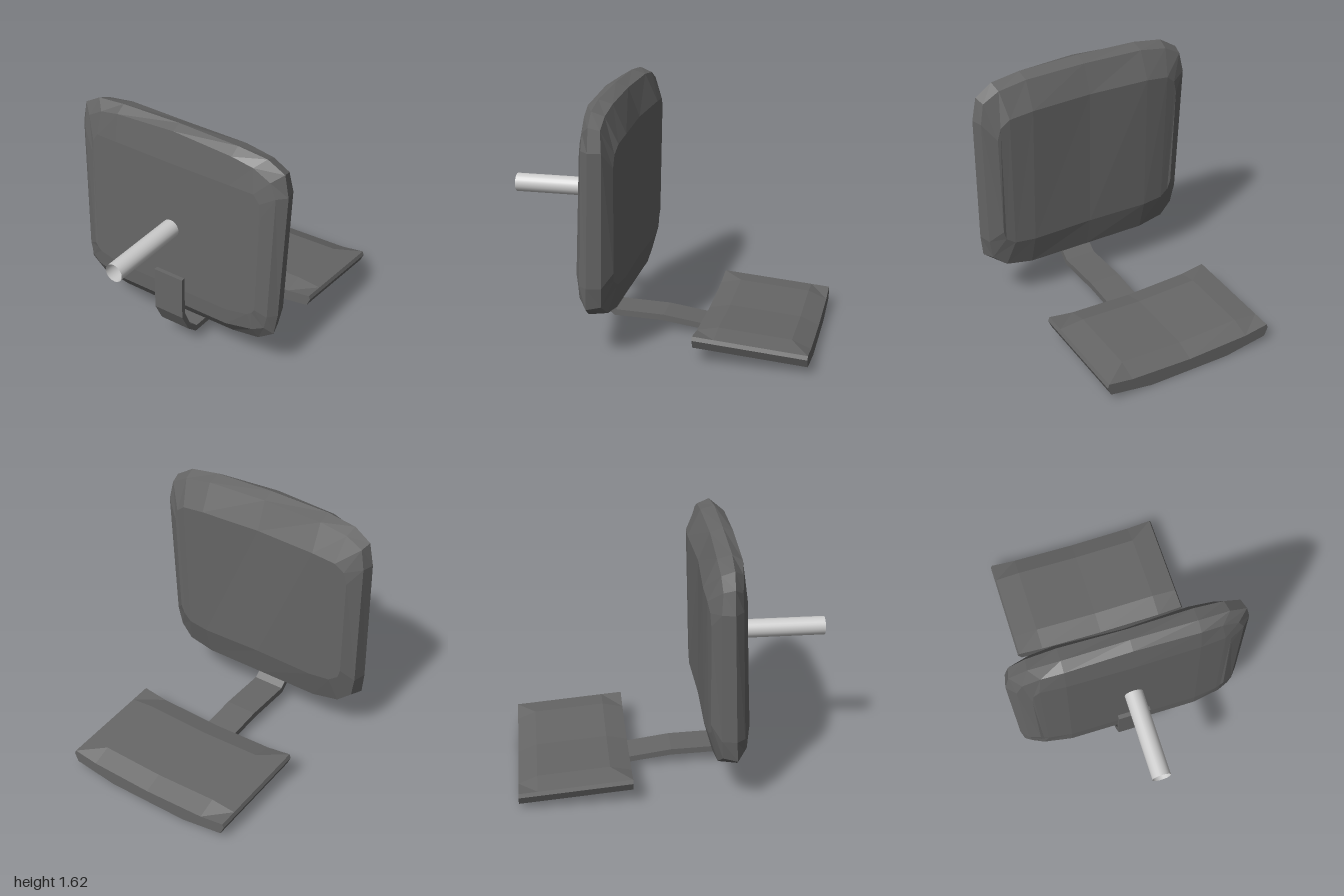
import * as THREE from 'three';

// Lofts mirrored half-loops (x >= 0, top to bottom, ordered from front to back) into a closed faceted solid.
function loft(halfLoops) {
  const n = halfLoops[0].length, N = 2 * (n - 1), pos = [], idx = [];
  for (const half of halfLoops) {
    const mirrored = half.slice(1, -1).reverse().map(([x, y, z]) => [-x, y, z]);
    for (const p of [...half, ...mirrored]) pos.push(...p);
  }
  const at = (k, i) => k * N + ((i % N) + N) % N;
  const quad = (a, b, c, d) => idx.push(a, b, c, a, c, d);
  const last = halfLoops.length - 1;
  for (let k = 0; k < last; k++)
    for (let i = 0; i < N; i++) quad(at(k, i), at(k, i + 1), at(k + 1, i + 1), at(k + 1, i));
  // End caps made of vertical strips
  const h = Math.floor((n - 1) / 2);
  for (let i = -h; i < h; i++) {
    const p = n - 1 - i;
    quad(at(0, i), at(0, p), at(0, p - 1), at(0, i + 1));
    quad(at(last, i), at(last, i + 1), at(last, p - 1), at(last, p));
  }
  const g = new THREE.BufferGeometry();
  g.setAttribute('position', new THREE.Float32BufferAttribute(pos, 3));
  g.setIndex(idx);
  const flat = g.toNonIndexed();
  flat.computeVertexNormals();
  return flat;
}

export function createModel() {
  const group = new THREE.Group();
  const padding = new THREE.MeshStandardMaterial({ name: 'dark grey', color: 0x666666, flatShading: true });
  const metal = new THREE.MeshStandardMaterial({ name: 'light grey metal', color: 0xcccccc, side: THREE.DoubleSide });
  const add = (name, geometry, material) => {
    const mesh = new THREE.Mesh(geometry, material);
    mesh.name = name;
    group.add(mesh);
    return mesh;
  };

  // Large cushion: front face, front bevel, widest rim, back rim, back face
  add('backrest', loft([
    [[0, 1.38, .425], [.42, 1.38, .42], [.58, 1.37, .405], [.62, 1.31, .40], [.63, 1.22, .40],
      [.62, .55, .43], [.60, .52, .43], [.57, .50, .435], [.42, .48, .45], [0, .48, .45]],
    [[0, 1.59, .395], [.42, 1.565, .395], [.56, 1.53, .38], [.67, 1.46, .365], [.71, 1.36, .365],
      [.69, .50, .395], [.67, .41, .395], [.60, .385, .42], [.42, .365, .445], [0, .365, .445]],
    [[0, 1.615, .33], [.42, 1.605, .33], [.62, 1.58, .32], [.735, 1.51, .31], [.763, 1.36, .31],
      [.735, .50, .34], [.715, .355, .35], [.61, .285, .36], [.42, .255, .36], [0, .25, .36]],
    [[0, 1.585, .25], [.42, 1.58, .24], [.61, 1.55, .24], [.72, 1.49, .24], [.745, 1.36, .23],
      [.715, .50, .25], [.69, .37, .26], [.60, .30, .24], [.42, .27, .23], [0, .27, .23]],
    [[0, 1.40, .178], [.42, 1.40, .158], [.58, 1.38, .165], [.64, 1.33, .175], [.66, 1.25, .18],
      [.64, .58, .19], [.62, .52, .195], [.56, .48, .185], [.42, .47, .175], [0, .47, .185]],
  ]), padding);

  // Curved, slightly tilted pad with a raised top
  const seatSection = (z, rise) => [
    [0, .085 + rise], [.42, .10 + rise], [.585, .125], [.595, .10], [.57, .045], [.28, 0], [0, 0],
  ].map(([x, y]) => [x, y + .085 * (z + 1), z]);
  add('seat', loft([
    seatSection(-.285, 0), seatSection(-.42, .04), seatSection(-.88, .04), seatSection(-1, 0),
  ]), padding);

  // Bent flat bar joining the backrest to the seat, drawn as (z, y)
  const bar = new THREE.Shape([
    [.475, .578], [.475, .28], [.41, .15], [.33, .08], [0, .07], [-.33, .025], [-.42, .05],
    [-.42, .075], [-.28, .07], [0, .11], [.32, .12], [.39, .18], [.445, .30], [.447, .578],
  ].map(([z, y]) => new THREE.Vector2(z, y)));
  const barGeometry = new THREE.ExtrudeGeometry(bar, { depth: .214, bevelEnabled: false });
  barGeometry.translate(0, 0, -.107).rotateY(-Math.PI / 2);
  add('supportBar', barGeometry, padding);

  // Open tube in the middle of the backrest
  const tube = new THREE.CylinderGeometry(.06, .06, .6, 24, 1, true);
  tube.rotateX(Math.PI / 2).translate(0, .915, .70);
  add('mountingTube', tube, metal);

  return group;
}
